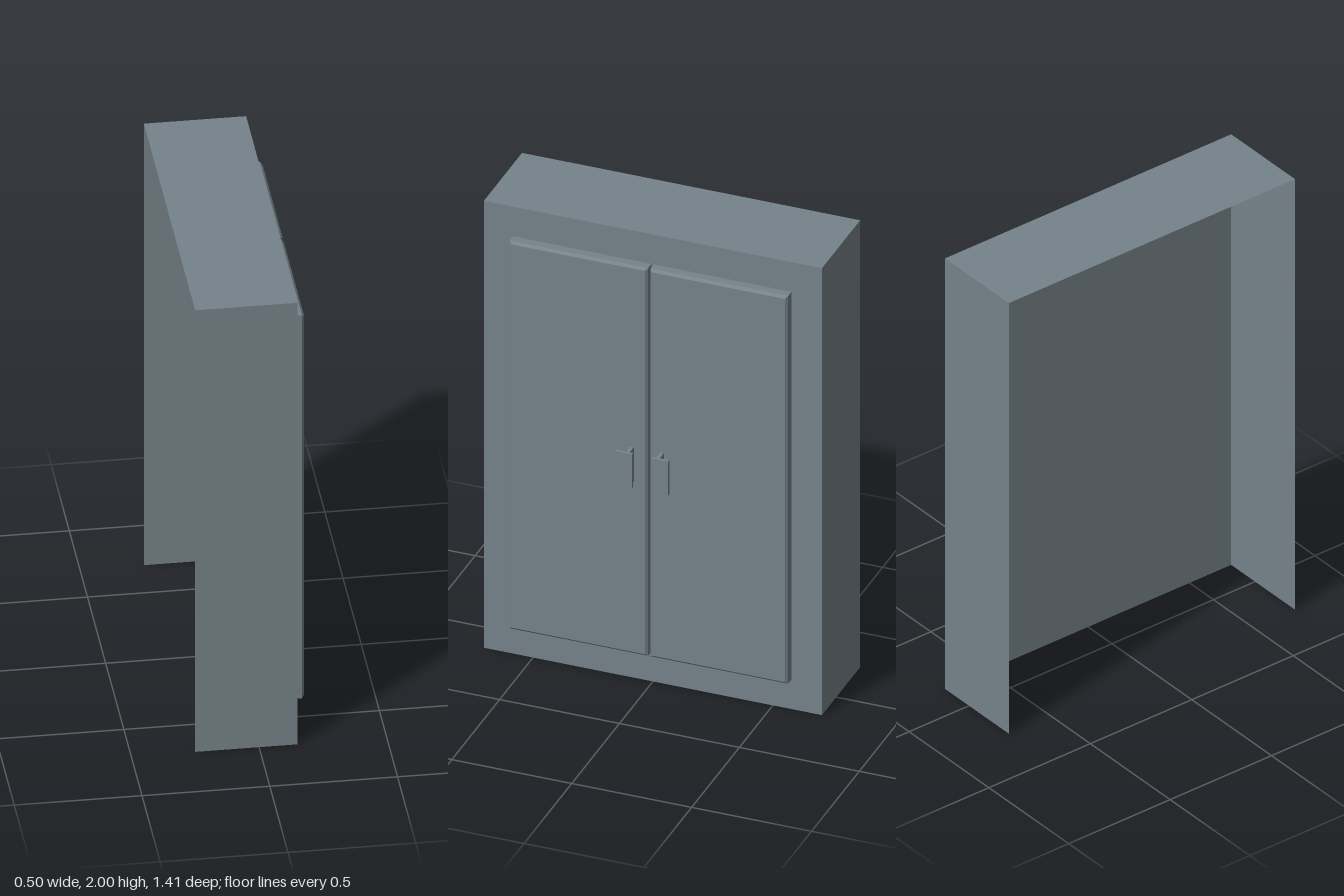
import * as THREE from 'three';

const X_BACK = -0.25, X_FACE = 0.15, HALF_Z = 0.705, HEIGHT = 2;

// Slab standing on the x = 0 plane, with its +x face inset to form a bevel
function beveledSlab(depth, height, width, bevel) {
  const geo = new THREE.BoxGeometry(depth, height, width, 2, 1, 1);
  const p = geo.attributes.position;
  for (let i = 0; i < p.count; i++) {
    const x = p.getX(i);
    if (x < -1e-4) p.setX(i, 0);
    else if (x < 1e-4) p.setX(i, depth - bevel);
    else {
      p.setXYZ(i, depth,
        p.getY(i) - Math.sign(p.getY(i)) * bevel,
        p.getZ(i) - Math.sign(p.getZ(i)) * bevel);
    }
  }
  const flat = geo.toNonIndexed();
  flat.computeVertexNormals();
  return flat;
}

export function createModel() {
  const group = new THREE.Group();
  group.name = 'cabinet';

  const paint = new THREE.MeshStandardMaterial({ color: 0x76838a });
  paint.name = 'slate grey';
  const sheet = new THREE.MeshStandardMaterial({ color: 0x76838a, side: THREE.DoubleSide });
  sheet.name = 'slate grey sheet';

  const add = (parent, name, geo, mat, x, y, z) => {
    const mesh = new THREE.Mesh(geo, mat);
    mesh.name = name;
    mesh.position.set(x, y, z);
    parent.add(mesh);
    return mesh;
  };

  // Thin case, open at the back and underneath
  const depth = X_FACE - X_BACK, midX = (X_FACE + X_BACK) / 2;
  add(group, 'facePanel', new THREE.PlaneGeometry(HALF_Z * 2, HEIGHT).rotateY(Math.PI / 2),
    sheet, X_FACE, HEIGHT / 2, 0);
  add(group, 'topPanel', new THREE.PlaneGeometry(depth, HALF_Z * 2).rotateX(-Math.PI / 2),
    sheet, midX, HEIGHT, 0);
  for (const side of [1, -1]) {
    add(group, 'sidePanel', new THREE.PlaneGeometry(depth, HEIGHT).rotateY(side > 0 ? 0 : Math.PI),
      sheet, midX, HEIGHT / 2, side * HALF_Z);
  }

  // Pair of doors, each with a T-section handle near the middle gap
  const doors = [
    { z0: 0.006, z1: 0.583, stem: 0.069, plate: 0.083 },
    { z0: -0.578, z1: -0.004, stem: -0.056, plate: -0.068 },
  ];
  for (const d of doors) {
    const door = new THREE.Group();
    door.name = 'door';
    add(door, 'doorPanel', beveledSlab(0.045, 1.735, d.z1 - d.z0, 0.01),
      paint, X_FACE, 1.0, (d.z0 + d.z1) / 2);
    add(door, 'handleStem', new THREE.BoxGeometry(0.043, 0.153, 0.015), paint, 0.2155, 0.983, d.stem);
    add(door, 'handlePlate', new THREE.BoxGeometry(0.013, 0.153, 0.07), paint, 0.2435, 0.983, d.plate);
    group.add(door);
  }
  return group;
}
